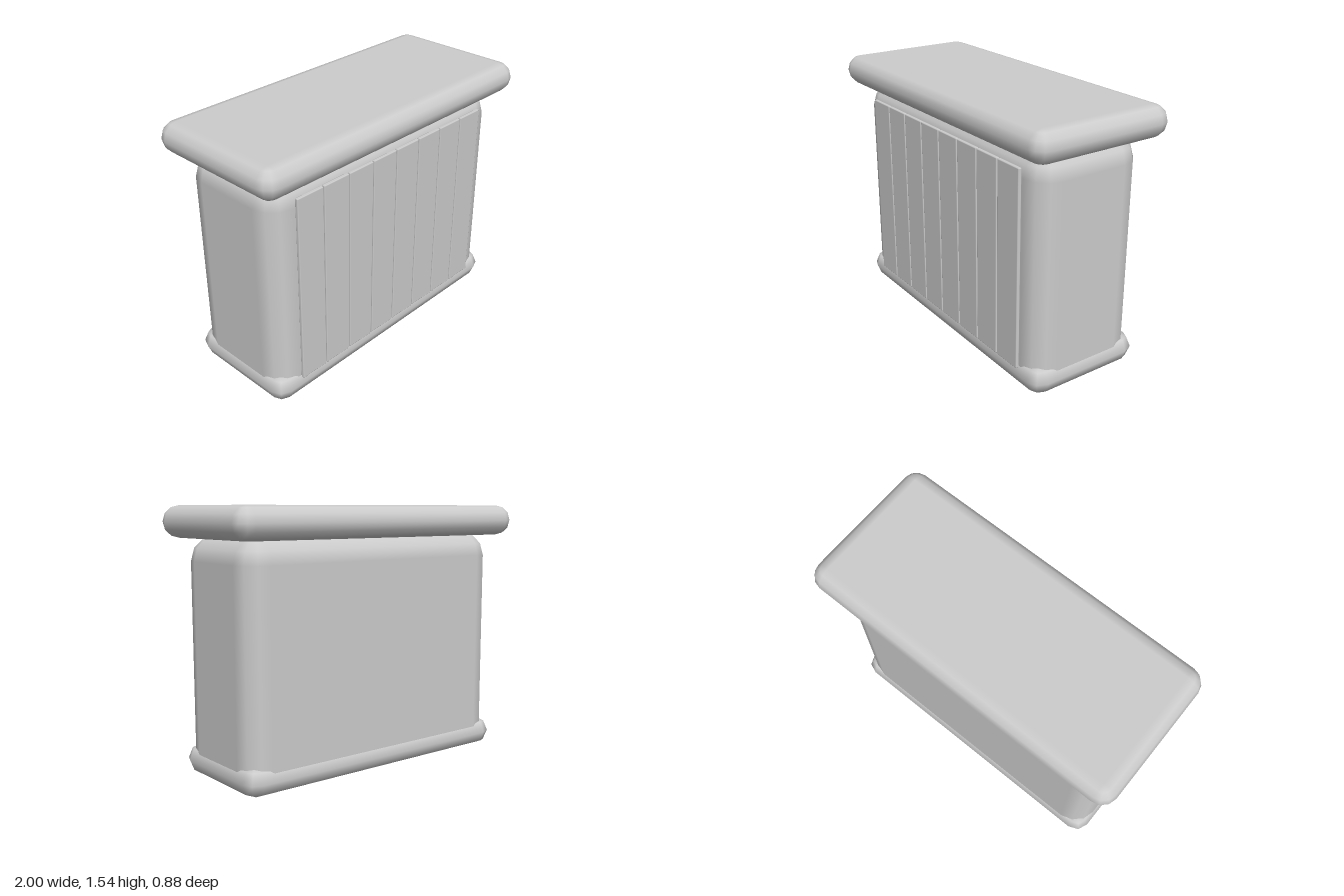
import * as THREE from 'three';

// Box with bevelled edges and corners: n bevel steps per quarter turn, smooth normals
function bevelBox(w, h, d, r, n) {
  const pos = [], nor = [], idx = [];
  const ring = 4 * (n + 1), rows = 2 * (n + 1);
  const cx = w / 2 - r, cy = h / 2 - r, cz = d / 2 - r;
  for (let k = 0; k < rows; k++) {
    const top = k > n;
    const e = ((top ? k - n - 1 : k - n) / n) * Math.PI / 2;
    for (let q = 0; q < 4; q++) {
      const sx = q < 2 ? 1 : -1, sz = q === 0 || q === 3 ? 1 : -1;
      for (let j = 0; j <= n; j++) {
        const a = (q + j / n) * Math.PI / 2;
        const nx = Math.cos(e) * Math.sin(a), ny = Math.sin(e), nz = Math.cos(e) * Math.cos(a);
        pos.push(sx * cx + r * nx, (top ? cy : -cy) + r * ny, sz * cz + r * nz);
        nor.push(nx, ny, nz);
      }
    }
  }
  for (let k = 0; k < rows - 1; k++) {
    for (let j = 0; j < ring; j++) {
      const a = k * ring + j, b = k * ring + (j + 1) % ring;
      idx.push(a, b, b + ring, a, b + ring, a + ring);
    }
  }
  // flat caps
  const s = n + 1, t = (rows - 1) * ring;
  idx.push(t, t + s, t + 2 * s, t, t + 2 * s, t + 3 * s);
  idx.push(0, 2 * s, s, 0, 3 * s, 2 * s);
  const g = new THREE.BufferGeometry();
  g.setAttribute('position', new THREE.Float32BufferAttribute(pos, 3));
  g.setAttribute('normal', new THREE.Float32BufferAttribute(nor, 3));
  g.setIndex(idx);
  return g;
}

export function createModel() {
  const model = new THREE.Group();
  model.name = 'counter';
  const grey = new THREE.MeshStandardMaterial({ color: 0xcccccc });
  grey.name = 'light grey';

  const add = (name, geometry, x, y, z) => {
    const mesh = new THREE.Mesh(geometry, grey);
    mesh.name = name;
    mesh.position.set(x, y, z);
    model.add(mesh);
  };

  // main cabinet, base moulding and overhanging worktop
  add('body', bevelBox(1.81, 1.375, 0.69, 0.145, 3), 0, 0.6875, 0);
  add('base', bevelBox(1.846, 0.172, 0.726, 0.0855, 2), 0, 0.096, 0);
  add('worktop', bevelBox(2, 0.18, 0.88, 0.0895, 3), 0, 1.446, 0);

  // row of upright planks on the front
  const count = 8, pitch = 0.1875;
  const plank = bevelBox(0.182, 1.156, 0.022, 0.006, 2);
  for (let i = 0; i < count; i++) {
    add('frontPlank' + (i + 1), plank, (i - (count - 1) / 2) * pitch, 0.708, 0.353);
  }
  return model;
}
